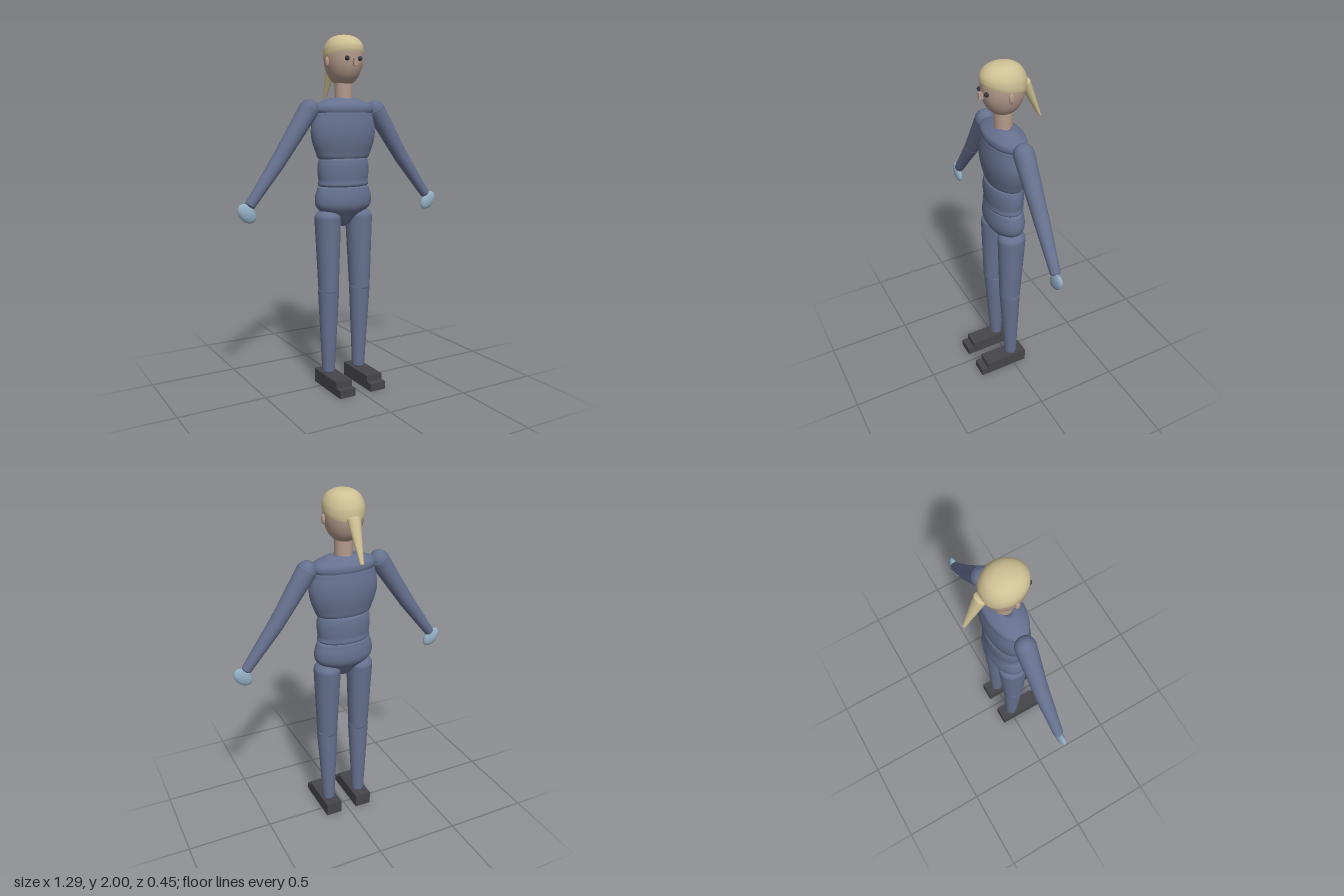
import * as THREE from 'three';

const mat = (color) => new THREE.MeshStandardMaterial({ color, side: THREE.DoubleSide });
const V = (x, y, z) => new THREE.Vector3(x, y, z);

export function createModel() {
  const model = new THREE.Group();
  const suit = mat(0x66718f), skin = mat(0xb59b8c), hair = mat(0xcfc094);
  const glove = mat(0x93afc4), boot = mat(0x46464a), dark = mat(0x38383e);

  const add = (name, geometry, material, x = 0, y = 0, z = 0) => {
    const mesh = new THREE.Mesh(geometry, material);
    mesh.name = name;
    mesh.position.set(x, y, z);
    model.add(mesh);
    return mesh;
  };

  // Smooth oval body of revolution: profile of [radius, height], depth = z / x ratio
  const oval = (profile, depth, smooth = 28) => {
    const curve = new THREE.SplineCurve(profile.map(([r, y]) => new THREE.Vector2(r, y)));
    const points = curve.getPoints(smooth).map((p) => new THREE.Vector2(Math.max(p.x, 0), p.y));
    return new THREE.LatheGeometry(points, 36).scale(1, 1, depth);
  };

  // Tapered round-ended limb from a to b with radii ra and rb
  const limb = (name, a, b, ra, rb, material, depth = 1, capA = 0.5, capB = 0.5) => {
    const dir = b.clone().sub(a), len = dir.length(), points = [], n = 7;
    for (let i = 0; i <= n; i++) {
      const t = (i / n) * Math.PI / 2;
      points.push(new THREE.Vector2(ra * Math.sin(t), -ra * capA * Math.cos(t)));
    }
    for (let i = 0; i <= n; i++) {
      const t = (i / n) * Math.PI / 2;
      points.push(new THREE.Vector2(rb * Math.cos(t), len + rb * capB * Math.sin(t)));
    }
    const mesh = add(name, new THREE.LatheGeometry(points, 28).scale(1, 1, depth), material, a.x, a.y, a.z);
    mesh.quaternion.setFromUnitVectors(V(0, 1, 0), dir.normalize());
    return mesh;
  };

  const ball = (name, material, pos, size) =>
    add(name, new THREE.SphereGeometry(1, 28, 18).scale(...size), material, ...pos);

  // Torso
  add('pelvis', oval([[0, 0.93], [0.045, 0.95], [0.11, 1.0], [0.165, 1.045], [0.176, 1.09],
    [0.165, 1.14], [0.14, 1.168], [0, 1.175]], 0.57), suit);
  add('waist', oval([[0, 1.15], [0.143, 1.165], [0.152, 1.2], [0.157, 1.25], [0.153, 1.3],
    [0.13, 1.325], [0, 1.33]], 0.63), suit);
  add('chest', oval([[0, 1.3], [0.14, 1.315], [0.172, 1.36], [0.195, 1.43], [0.198, 1.49],
    [0.185, 1.55], [0.16, 1.585], [0, 1.6]], 0.55), suit);
  add('collar', oval([[0, 1.56], [0.155, 1.566], [0.183, 1.58], [0.187, 1.6], [0.175, 1.62],
    [0.13, 1.64], [0.075, 1.657], [0.045, 1.645], [0, 1.64]], 0.54), suit);

  // Neck and head
  add('neck', new THREE.CylinderGeometry(0.05, 0.05, 0.18, 28), skin, 0, 1.67, 0);
  add('head', oval([[0, 1.724], [0.04, 1.732], [0.076, 1.765], [0.099, 1.82], [0.106, 1.88],
    [0.097, 1.94], [0.065, 1.98], [0, 1.995]], 1.12), skin);

  // Hair cap: a dome whose rim slopes down towards the back
  const cap = oval([[0.108, 0], [0.11, 0.02], [0.105, 0.055], [0.083, 0.092], [0.045, 0.114], [0, 0.12]], 1.13);
  const p = cap.attributes.position;
  for (let i = 0; i < p.count; i++) {
    const fall = 1 - p.getY(i) / 0.12;
    p.setY(i, p.getY(i) + fall * 0.2 * p.getZ(i));
  }
  cap.computeVertexNormals();
  add('hairCap', cap, hair, 0, 1.88, 0);
  limb('ponytail', V(0, 1.868, -0.122), V(0, 1.662, -0.217), 0.037, 0.01, hair, 0.8, 0.4, 0.4);

  // Face
  add('nose', new THREE.BoxGeometry(0.016, 0.036, 0.03), skin, 0, 1.847, 0.122);

  for (const s of [1, -1]) {
    const side = s > 0 ? 'left' : 'right';
    ball(side + 'Eye', dark, [s * 0.04, 1.866, 0.112], [0.013, 0.013, 0.013]);
    ball(side + 'Ear', skin, [s * 0.108, 1.85, 0.01], [0.011, 0.028, 0.014]);

    // Arm
    const shoulder = V(s * 0.213, 1.595, -0.003), elbow = V(s * 0.395, 1.325, -0.003), wrist = V(s * 0.572, 1.09, 0.006);
    ball(side + 'Shoulder', suit, shoulder.toArray(), [0.052, 0.054, 0.054]);
    limb(side + 'UpperArm', shoulder, elbow, 0.056, 0.042, suit);
    limb(side + 'Forearm', elbow, wrist, 0.043, 0.028, suit);
    const hand = ball(side + 'Hand', glove, [s * 0.593, 1.047, 0.01], [0.062, 0.042, 0.021]);
    hand.rotation.z = s * 0.82;

    // Leg
    const hip = V(s * 0.102, 0.985, 0), knee = V(s * 0.103, 0.57, 0.01), ankle = V(s * 0.101, 0.09, 0.002);
    limb(side + 'Thigh', hip, knee, 0.075, 0.058, suit, 1.1, 0.7);
    limb(side + 'Shin', knee, ankle, 0.061, 0.037, suit, 1, 0.4);

    // Foot with a low toe step
    add(side + 'Foot', new THREE.BoxGeometry(0.098, 0.08, 0.265), boot, s * 0.1, 0.04, 0.0525);
    add(side + 'Toe', new THREE.BoxGeometry(0.098, 0.045, 0.04), boot, s * 0.1, 0.0225, 0.205);
  }
  return model;
}
